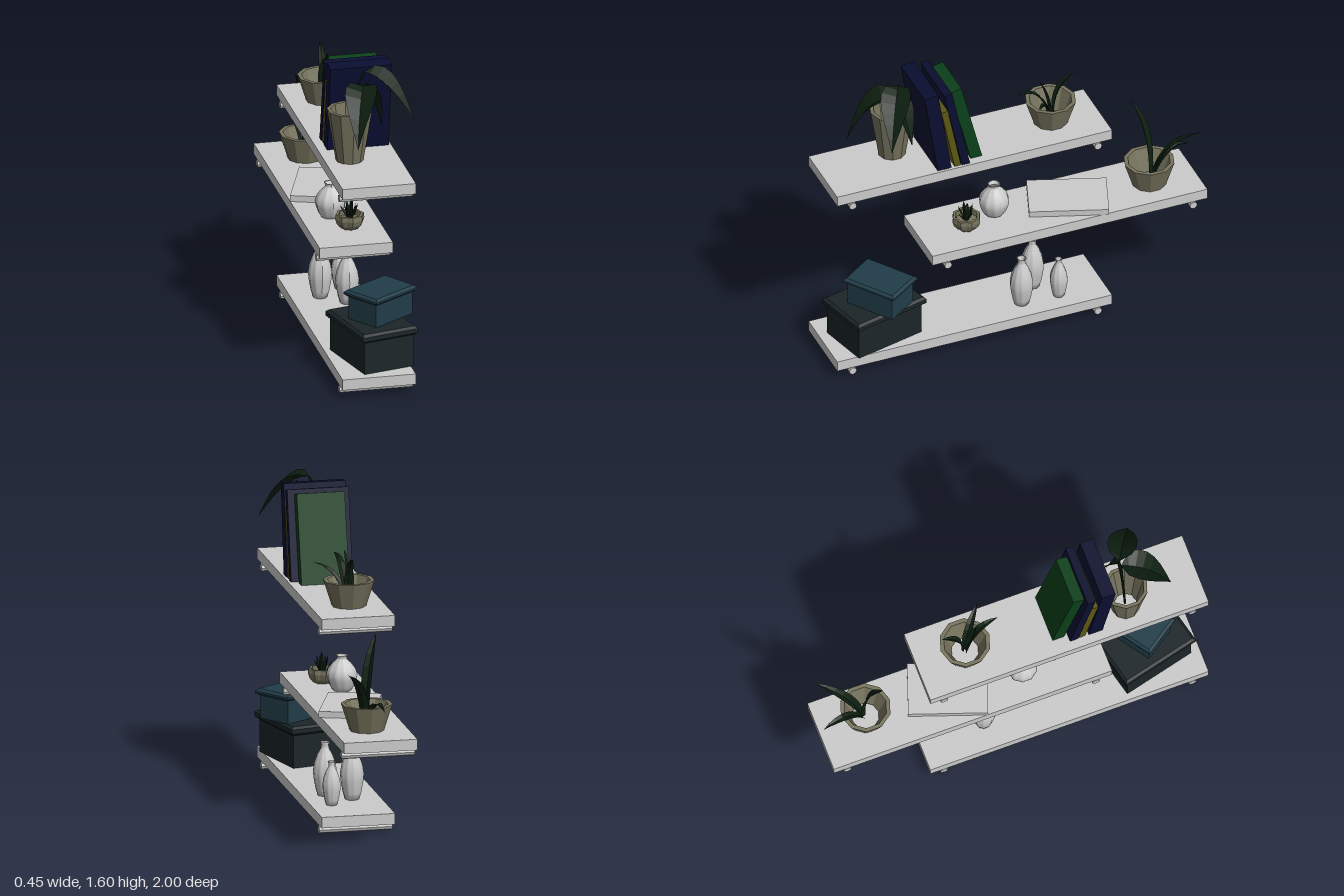
import * as THREE from 'three';

const V = (x, y, z) => new THREE.Vector3(x, y, z);
const mat = (color, flat = true) =>
  new THREE.MeshStandardMaterial({ color, flatShading: flat, side: THREE.DoubleSide });
const GREY = mat(0xcccccc), SMOOTH = mat(0xcccccc, false), POT = mat(0x77745e), LEAF = mat(0x0d1f10),
  NAVY = mat(0x0a0e30), YELLOW = mat(0x5c5814), GREEN = mat(0x0b401a),
  SLATE = mat(0x1b2528), TEAL = mat(0x213d49);

function add(parent, name, geometry, material, x = 0, y = 0, z = 0) {
  const m = new THREE.Mesh(geometry, material);
  m.name = name;
  m.position.set(x, y, z);
  parent.add(m);
  return m;
}

// Tapered leaf folded along its midrib, following a curve from base to tip
function leaf(base, ctrl, tip, width, broad) {
  const curve = new THREE.QuadraticBezierCurve3(base, ctrl, tip);
  const side = tip.clone().sub(base).cross(V(0, 1, 0)).normalize();
  const pos = [], idx = [], n = 7;
  for (let i = 0; i <= n; i++) {
    const t = i / n, p = curve.getPoint(t);
    const w = width / 2 * (broad ? Math.sin(Math.PI * Math.pow(t, 0.65)) : (0.65 + 1.1 * t) * (1 - t * t));
    const lift = side.clone().cross(curve.getTangent(t)).multiplyScalar(w * 0.45);
    for (const s of [-1, 0, 1]) {
      const q = p.clone().addScaledVector(side, s * w);
      if (s) q.add(lift);
      pos.push(q.x, q.y, q.z);
    }
    if (i < n) for (const k of [0, 1]) {
      const a = i * 3 + k;
      idx.push(a, a + 1, a + 3, a + 1, a + 4, a + 3);
    }
  }
  const g = new THREE.BufferGeometry();
  g.setAttribute('position', new THREE.Float32BufferAttribute(pos, 3));
  g.setIndex(idx);
  g.computeVertexNormals();
  return g;
}

// Turned form, optionally with vertical flutes
function turned(points, sides, lobes = 0, depth = 0) {
  const g = new THREE.LatheGeometry(points.map(p => new THREE.Vector2(...p)), sides);
  const p = g.attributes.position;
  if (lobes) for (let i = 0; i < p.count; i++) {
    const f = 1 - depth * (0.5 - 0.5 * Math.cos(lobes * Math.atan2(p.getX(i), p.getZ(i))));
    p.setXYZ(i, p.getX(i) * f, p.getY(i), p.getZ(i) * f);
  }
  g.computeVertexNormals();
  return g;
}

const potShape = (top, bottom, h) =>
  turned([[bottom, 0], [top, h], [top * 0.84, h], [bottom * 0.8, h * 0.1]], 10);

function vase(parent, x, y, z, r, h) {
  const profile = [[0, 0], [0.6, 0], [0.78, 0.12], [0.95, 0.32], [1, 0.46], [0.88, 0.62],
    [0.6, 0.78], [0.34, 0.88], [0.31, 0.95], [0.42, 1], [0.3, 0.99], [0.24, 0.9]];
  add(parent, 'vase', turned(profile.map(([a, b]) => [a * r, b * h]), 40, 10, 0.07), SMOOTH, x, y, z);
}

// Storage box with an overhanging bevelled lid
function storageBox(parent, x, y, z, w, d, h, lidH, angle, material) {
  const g = new THREE.Group();
  g.name = 'storageBox';
  g.position.set(x, y, z);
  g.rotation.y = angle;
  add(g, 'boxBody', new THREE.BoxGeometry(w, h - lidH / 2, d), material, 0, (h - lidH / 2) / 2, 0);
  const s = new THREE.Shape([[-1, -1], [1, -1], [1, 1], [-1, 1]].map(
    ([a, b]) => new THREE.Vector2(a * (w / 2 + 0.004), b * (d / 2 + 0.004))));
  const lid = new THREE.ExtrudeGeometry(s, { depth: lidH - 0.024, bevelThickness: 0.012,
    bevelSize: 0.014, bevelSegments: 1 });
  lid.rotateX(-Math.PI / 2);
  add(g, 'boxLid', lid, material, 0, h - lidH + 0.012, 0);
  parent.add(g);
}

// Book leaning back from its rear bottom edge
function leaningBook(parent, name, x, width, zRear, thick, rise, tilt, material) {
  const geo = new THREE.BoxGeometry(width, rise / Math.cos(tilt), thick);
  geo.translate(0, rise / Math.cos(tilt) / 2, thick / 2);
  add(parent, name, geo, material, x, 1.122, zRear).rotation.x = tilt;
}

export function createModel() {
  const root = new THREE.Group();
  root.name = 'shelfDisplay';

  // Shelves with two support rails each
  for (const [y, z] of [[0.1, 0.26], [0.61, -0.255], [1.12, 0.26]]) {
    add(root, 'shelf', new THREE.BoxGeometry(0.375, 0.056, 1.485), GREY, -0.033, y - 0.028, z);
    for (const dz of [0.657, -0.668]) {
      const rail = new THREE.CylinderGeometry(0.02, 0.02, 0.375, 8);
      rail.rotateZ(Math.PI / 2);
      add(root, 'supportRail', rail, GREY, -0.033, y - 0.08, z + dz);
      for (const x of [-0.17, 0.1])
        add(root, 'railMount', new THREE.BoxGeometry(0.02, 0.03, 0.014), GREY, x, y - 0.062, z + dz);
    }
  }

  // Plant pots
  add(root, 'tallPot', potShape(0.114, 0.07, 0.272), POT, -0.095, 1.12, 0.605);
  add(root, 'widePot', potShape(0.13, 0.087, 0.133), POT, -0.04, 1.12, -0.23);
  add(root, 'widePot', potShape(0.13, 0.087, 0.135), POT, -0.015, 0.61, -0.752);
  add(root, 'smallPot', turned([[0, 0], [0.044, 0], [0.066, 0.022], [0.075, 0.05], [0.072, 0.074],
    [0.058, 0.074], [0.055, 0.05], [0, 0.05]], 32, 8, 0.12), POT, -0.01, 0.61, 0.237);

  // Broad drooping leaves on stems
  for (const [base, ctrl, tip, w] of [
    [V(-0.02, 1.51, 0.61), V(-0.07, 1.54, 0.73), V(-0.105, 1.26, 0.845), 0.16],
    [V(-0.02, 1.58, 0.6), V(0.08, 1.58, 0.66), V(0.21, 1.35, 0.73), 0.15],
    [V(-0.01, 1.52, 0.6), V(0.03, 1.46, 0.59), V(0.08, 1.265, 0.567), 0.1]]) {
    add(root, 'broadLeaf', leaf(base, ctrl, tip, w, true), LEAF);
    const stem = new THREE.QuadraticBezierCurve3(V(-0.09, 1.15, 0.605), V(-0.07, base.y - 0.05, 0.6), base);
    add(root, 'leafStem', new THREE.TubeGeometry(stem, 8, 0.006, 5), LEAF);
  }

  // Blade leaves of the two wide pots: base, control, tip, width
  for (const [b, c, t, w] of [
    [V(-0.03, 1.14, -0.245), V(-0.04, 1.34, -0.24), V(-0.03, 1.385, -0.35), 0.045],
    [V(-0.03, 1.14, -0.215), V(-0.02, 1.36, -0.18), V(-0.005, 1.35, -0.04), 0.045],
    [V(-0.02, 1.14, -0.225), V(0.0, 1.3, -0.2), V(0.115, 1.32, -0.105), 0.045],
    [V(-0.04, 1.14, -0.225), V(-0.06, 1.28, -0.22), V(-0.03, 1.39, -0.162), 0.045],
    [V(-0.01, 0.63, -0.75), V(-0.01, 0.93, -0.76), V(-0.08, 1.09, -0.682), 0.065],
    [V(0.0, 0.63, -0.77), V(0.01, 0.86, -0.8), V(0.128, 0.95, -0.97), 0.06],
    [V(-0.015, 0.63, -0.77), V(-0.03, 0.83, -0.85), V(-0.055, 0.755, -0.99), 0.045]])
    add(root, 'bladeLeaf', leaf(b, c, t, w, false), LEAF);

  // Small succulent
  for (let i = 0; i < 9; i++) {
    const a = i * 2.4, r = 0.022 + 0.004 * i, h = 0.765 - 0.006 * i;
    const at = (k, y) => V(-0.01 + Math.sin(a) * k, y, 0.237 + Math.cos(a) * k);
    add(root, 'succulentLeaf', leaf(at(0.01, 0.655), at(r * 0.9, 0.7), at(r, h), 0.022, false), LEAF);
  }

  // Leaning books
  leaningBook(root, 'navyBook', -0.017, 0.315, 0.38, 0.073, 0.465, 0.152, NAVY);
  leaningBook(root, 'yellowBook', -0.017, 0.31, 0.327, 0.034, 0.352, 0.2, YELLOW);
  leaningBook(root, 'navyThinBook', -0.017, 0.315, 0.28, 0.042, 0.452, 0.208, NAVY);
  leaningBook(root, 'greenBook', -0.017, 0.245, 0.2, 0.06, 0.445, 0.245, GREEN);

  // Flat book
  add(root, 'flatBook', new THREE.BoxGeometry(0.27, 0.032, 0.4), GREY, -0.028, 0.626, -0.318).rotation.y = -0.34;

  // Vases
  vase(root, -0.07, 0.61, 0.063, 0.078, 0.18);
  vase(root, 0.04, 0.1, -0.04, 0.06, 0.275);
  vase(root, -0.075, 0.1, -0.145, 0.06, 0.287);
  vase(root, 0.05, 0.1, -0.237, 0.046, 0.223);

  // Stacked storage boxes
  storageBox(root, -0.01, 0.1, 0.735, 0.273, 0.385, 0.215, 0.046, 0.24, SLATE);
  storageBox(root, 0.037, 0.315, 0.722, 0.266, 0.188, 0.153, 0.034, 0.6, TEAL);

  return root;
}
